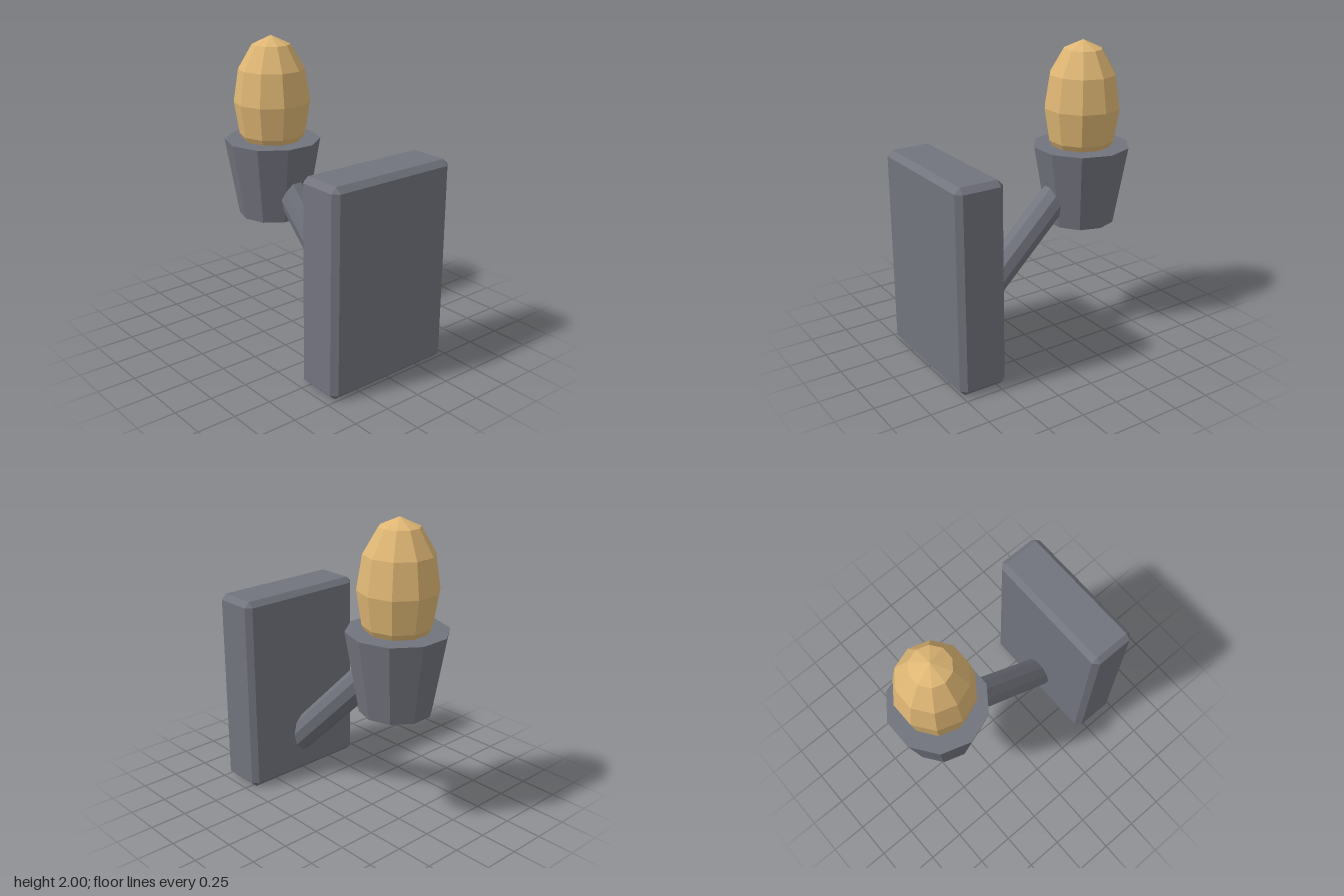
import * as THREE from 'three';
import { ConvexGeometry } from 'three/addons/geometries/ConvexGeometry.js';

// Box with flat chamfers on every edge and corner
function chamferBox(w, h, d, c) {
  const points = [];
  for (const x of [-1, 1]) for (const y of [-1, 1]) for (const z of [-1, 1]) {
    const X = x * w / 2, Y = y * h / 2, Z = z * d / 2;
    points.push(
      new THREE.Vector3(X, Y - y * c, Z - z * c),
      new THREE.Vector3(X - x * c, Y, Z - z * c),
      new THREE.Vector3(X - x * c, Y - y * c, Z)
    );
  }
  return new ConvexGeometry(points);
}

export function createModel() {
  const group = new THREE.Group();
  const metal = new THREE.MeshStandardMaterial({ name: 'greyMetal', color: 0x72747e, flatShading: true });
  const glow = new THREE.MeshStandardMaterial({ name: 'warmFlame', color: 0xdeb674, flatShading: true });
  const SIDES = 10;
  const holderZ = -0.452;

  const add = (name, geometry, material, x, y, z) => {
    const mesh = new THREE.Mesh(geometry, material);
    mesh.name = name;
    mesh.position.set(x, y, z);
    group.add(mesh);
    return mesh;
  };

  // Wall plate
  add('wallPlate', chamferBox(0.926, 1.35, 0.323, 0.036), metal, 0, 0.675, 0.598);

  // Sloping arm from the plate into the cup
  const start = new THREE.Vector3(0, 0.193, 0.55);
  const end = new THREE.Vector3(0, 1.1, -0.38);
  const dir = end.clone().sub(start);
  const armGeometry = new THREE.CylinderGeometry(0.104, 0.104, dir.length(), SIDES).rotateY(Math.PI / 2);
  const mid = start.clone().add(end).multiplyScalar(0.5);
  const arm = add('arm', armGeometry, metal, mid.x, mid.y, mid.z);
  arm.quaternion.setFromUnitVectors(new THREE.Vector3(0, 1, 0), dir.normalize());

  // Tapered cup
  const cup = new THREE.CylinderGeometry(0.325, 0.234, 0.53, SIDES).rotateY(Math.PI / 2);
  add('cup', cup, metal, 0, 1.037, holderZ);

  // Faceted egg-shaped flame
  const flame = new THREE.SphereGeometry(0.255, SIDES, 6).scale(1, 0.44 / 0.255, 1);
  add('flame', flame, glow, 0, 1.56, holderZ);

  return group;
}
